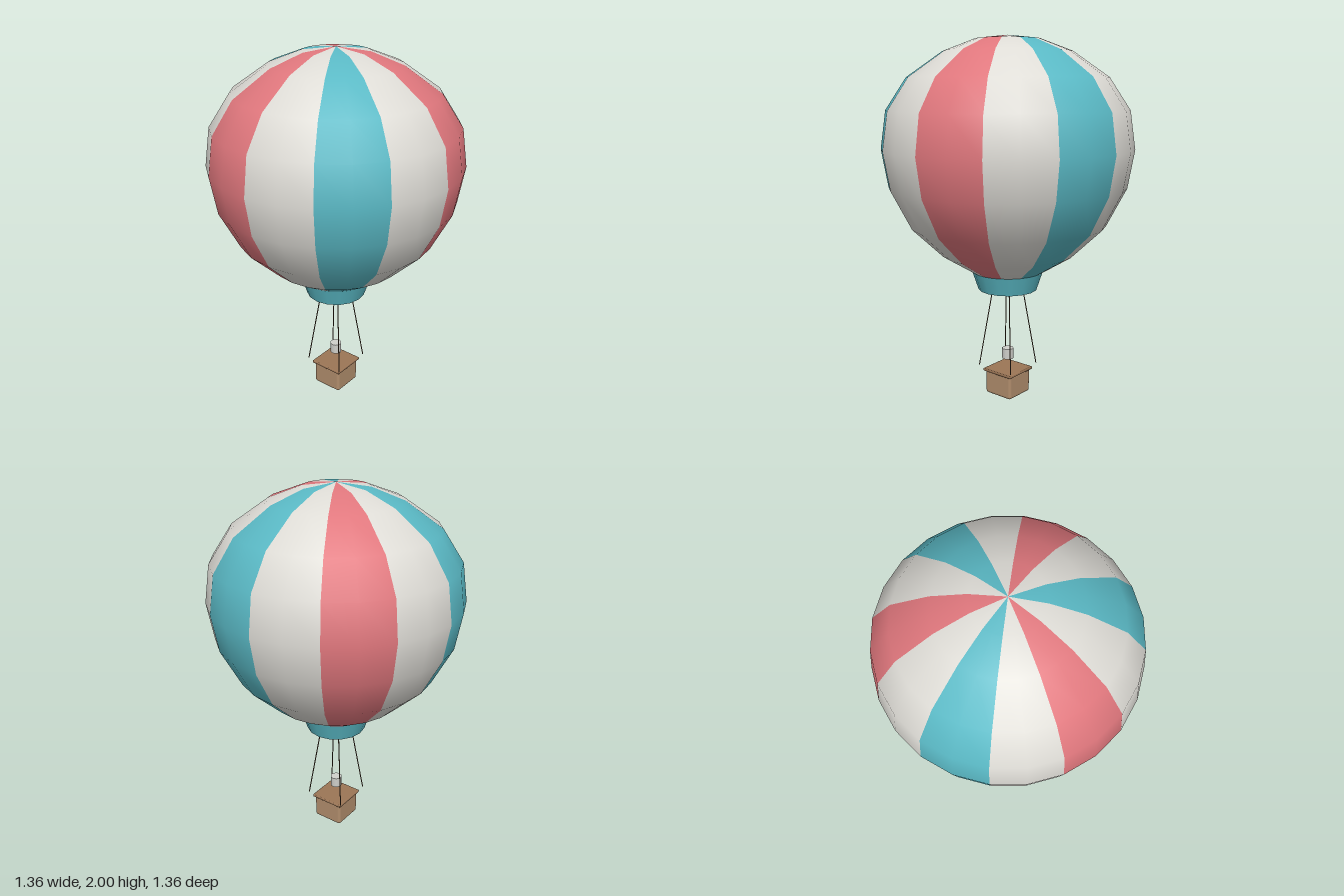
import * as THREE from 'three';
import { RoundedBoxGeometry } from 'three/addons/geometries/RoundedBoxGeometry.js';

function material(name, color) {
  const m = new THREE.MeshStandardMaterial({ color });
  m.name = name;
  return m;
}

export function createModel() {
  const cream = material('cream cloth', 0xdedcd6);
  const red = material('red cloth', 0xe0777d);
  const teal = material('teal cloth', 0x5ab9c5);
  const wicker = material('wicker', 0xb08d6c);
  const wood = material('rim wood', 0x9c7656);
  const rope = material('rope', 0x5a4632);
  const metal = material('burner metal', 0xd0d0cb);

  const model = new THREE.Group();
  model.name = 'hotAirBalloon';

  function add(name, geometry, mat, x = 0, y = 0, z = 0, parent = model) {
    const mesh = new THREE.Mesh(geometry, mat);
    mesh.name = name;
    mesh.position.set(x, y, z);
    parent.add(mesh);
    return mesh;
  }

  // Envelope: twelve gores of two segments each, cream between teal and red
  const envelope = new THREE.Group();
  envelope.name = 'envelope';
  model.add(envelope);
  const profile = [
    [0.2, 0.725], [0.37, 0.83], [0.537, 0.99], [0.645, 1.2], [0.68, 1.405],
    [0.65, 1.61], [0.538, 1.78], [0.345, 1.915], [0.175, 1.98], [0, 2],
  ].map(([r, y]) => new THREE.Vector2(r, y));
  const gore = Math.PI / 6;
  const cloth = [cream, teal, cream, red];
  for (let i = 0; i < 12; i++) {
    add('gore' + (i + 1), new THREE.LatheGeometry(profile, 2, i * gore, gore), cloth[i % 4], 0, 0, 0, envelope);
  }

  // Skirt closing the mouth of the envelope
  add('skirt', new THREE.CylinderGeometry(0.2, 0.165, 0.105, 16), teal, 0, 0.6725, 0);

  // Four ropes spreading out towards the basket corners
  const up = new THREE.Vector3(0, 1, 0);
  for (const sx of [-1, 1]) {
    for (const sz of [-1, 1]) {
      const top = new THREE.Vector3(sx * 0.058, 0.63, sz * 0.058);
      const bottom = new THREE.Vector3(sx * 0.115, 0.17, sz * 0.115);
      const dir = top.clone().sub(bottom);
      const mid = top.clone().add(bottom).multiplyScalar(0.5);
      const line = add('rope', new THREE.CylinderGeometry(0.003, 0.003, dir.length(), 6), rope, mid.x, mid.y, mid.z);
      line.quaternion.setFromUnitVectors(up, dir.normalize());
    }
  }

  // Burner
  add('burner', new THREE.CylinderGeometry(0.033, 0.033, 0.06, 10), metal, 0, 0.236, 0);

  // Basket with its overhanging rim
  add('basket', new RoundedBoxGeometry(0.182, 0.14, 0.182, 2, 0.016), wicker, 0, 0.07, 0);
  add('basketRim', new RoundedBoxGeometry(0.2, 0.016, 0.2, 2, 0.005), wood, 0, 0.14, 0);

  return model;
}
